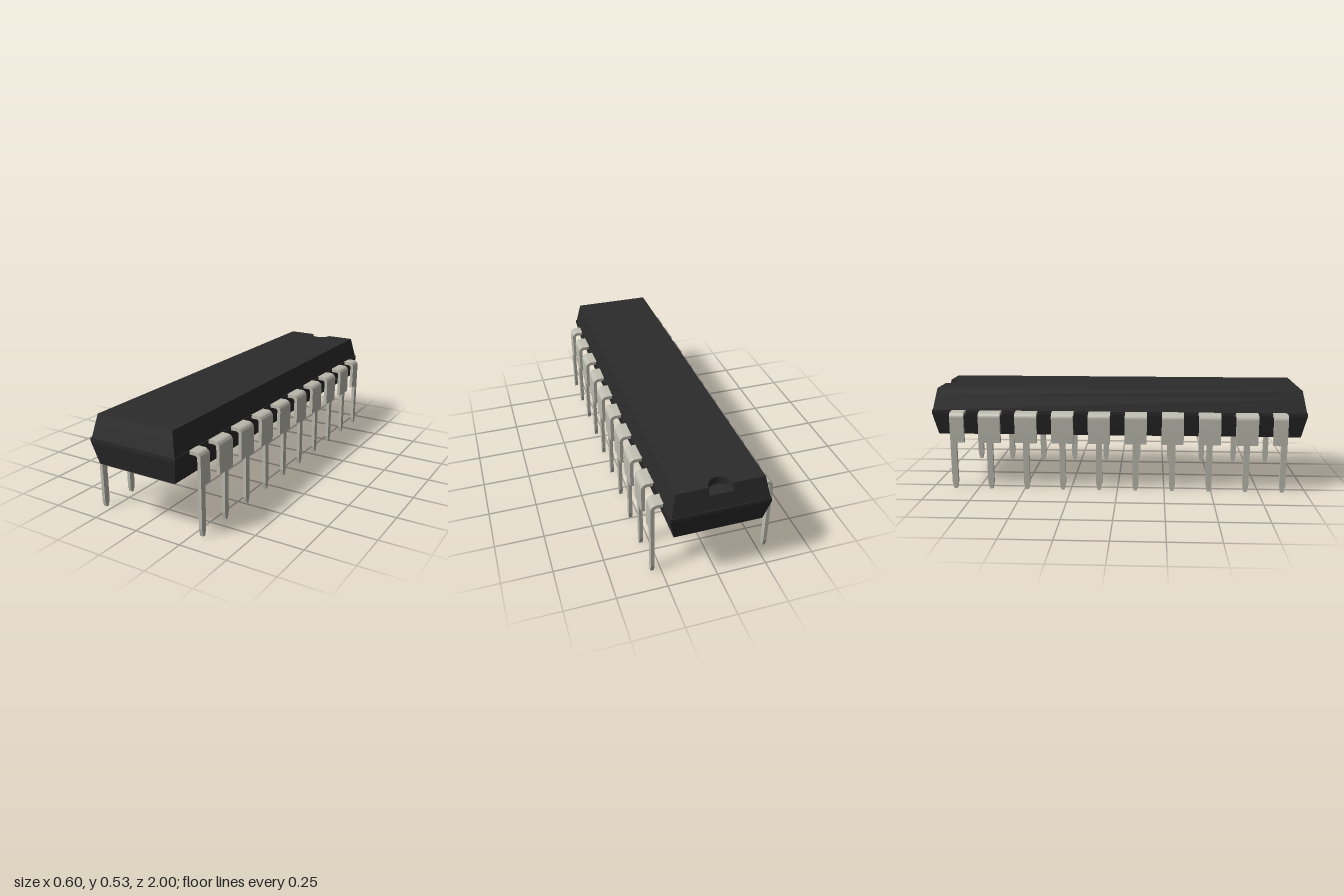
import * as THREE from 'three';
import { toCreasedNormals } from 'three/addons/utils/BufferGeometryUtils.js';

const bodyMat = new THREE.MeshStandardMaterial({ color: 0x2b2b2b, flatShading: true });
const metalMat = new THREE.MeshStandardMaterial({ color: 0xbdbcb0 });

// Joins equal-length outlines (counter-clockwise from above, v = -z) at rising heights
function loft(levels) {
  const pos = [];
  const put = (p, y) => pos.push(p.x, y, -p.y);
  for (let k = 0; k < levels.length - 1; k++) {
    const [y0, a] = levels[k], [y1, b] = levels[k + 1];
    a.forEach((p, i) => {
      const j = (i + 1) % a.length;
      put(p, y0); put(a[j], y0); put(b[j], y1);
      put(p, y0); put(b[j], y1); put(b[i], y1);
    });
  }
  const cap = ([y, ring], up) => {
    for (const f of THREE.ShapeUtils.triangulateShape(ring, [])) {
      for (const i of up ? f : [...f].reverse()) put(ring[i], y);
    }
  };
  cap(levels[0], false);
  cap(levels[levels.length - 1], true);
  const geo = new THREE.BufferGeometry();
  geo.setAttribute('position', new THREE.Float32BufferAttribute(pos, 3));
  geo.computeVertexNormals();
  return geo;
}

const rect = (w, d) => [[-w, -d], [w, -d], [w, d], [-w, d]].map(([x, v]) => new THREE.Vector2(x, v));

// Rectangle with a half-round bite in its back edge
function notchedRect(w, d) {
  const ring = rect(w, d).slice(0, 3);
  const r = 0.058, centre = 0.97, n = 16;
  ring.push(new THREE.Vector2(r, d));
  for (let i = 1; i < n; i++) {
    const a = Math.PI * i / n;
    ring.push(new THREE.Vector2(r * Math.cos(a), centre - r * Math.sin(a)));
  }
  ring.push(new THREE.Vector2(-r, d), new THREE.Vector2(-w, d));
  return ring;
}

const T = 0.018, OUT = 0.301, TOP = 0.418, STEP = 0.255;

// Bent shoulder: L-shaped strip swept along z from z0 to z1
function shoulderGeometry(z0, z1) {
  const R = 0.03, s = new THREE.Shape();
  s.moveTo(0.22, TOP - T);
  s.lineTo(OUT - R, TOP - T);
  s.absarc(OUT - R, TOP - R, R - T, Math.PI / 2, 0, true);
  s.lineTo(OUT - T, STEP);
  s.lineTo(OUT, STEP);
  s.lineTo(OUT, TOP - R);
  s.absarc(OUT - R, TOP - R, R, 0, Math.PI / 2, false);
  s.lineTo(0.22, TOP);
  s.closePath();
  const geo = new THREE.ExtrudeGeometry(s, { depth: z1 - z0, bevelEnabled: false, curveSegments: 8 });
  geo.translate(0, 0, z0);
  return toCreasedNormals(geo, 0.6);
}

// Narrow leg with a tapered tip
function legGeometry() {
  const h = 0.016, tip = 0.008;
  const s = new THREE.Shape([[-tip, 0], [tip, 0], [h, 0.036], [h, STEP], [-h, STEP], [-h, 0.036]]
    .map(([x, y]) => new THREE.Vector2(x, y)));
  const geo = new THREE.ExtrudeGeometry(s, { depth: T, bevelEnabled: false });
  geo.rotateY(-Math.PI / 2);
  geo.translate(OUT, 0, 0);
  return geo;
}

function pinRow(name) {
  const row = new THREE.Group();
  row.name = name;
  const pitch = 0.1946, count = 10, leg = legGeometry();
  for (let i = 0; i < count; i++) {
    // End pins lose the outer half of their shoulder
    const z0 = i === 0 ? -0.016 : -0.058, z1 = i === count - 1 ? 0.016 : 0.058;
    const pin = new THREE.Group();
    pin.name = 'pin' + (i + 1);
    const shoulder = new THREE.Mesh(shoulderGeometry(z0, z1), metalMat);
    shoulder.name = 'pinShoulder';
    const blade = new THREE.Mesh(leg, metalMat);
    blade.name = 'pinLeg';
    pin.add(shoulder, blade);
    pin.position.z = (i - (count - 1) / 2) * pitch;
    row.add(pin);
  }
  return row;
}

export function createModel() {
  const model = new THREE.Group();
  model.name = 'chip';

  // Moulded case: tapered bottom, seam band and tapered top up to the notch floor
  const FLOOR = 0.493;
  const w = 0.2215, d = 0.98;
  const lower = new THREE.Mesh(loft([
    [0.283, rect(0.218, 0.975)],
    [0.4, rect(0.242, 1)],
    [0.418, rect(0.242, 1)],
    [0.418, rect(0.237, 0.996)],
    [FLOOR, rect(w, d)],
  ]), bodyMat);
  lower.name = 'caseBody';

  // Top slice carrying the index notch
  const upper = new THREE.Mesh(loft([
    [FLOOR, notchedRect(w, d)],
    [0.533, notchedRect(0.213, 0.971)],
  ]), bodyMat);
  upper.name = 'caseTopWithNotch';

  const left = pinRow('leftPins');
  const right = pinRow('rightPins');
  right.rotation.y = Math.PI;
  model.add(lower, upper, left, right);
  return model;
}
